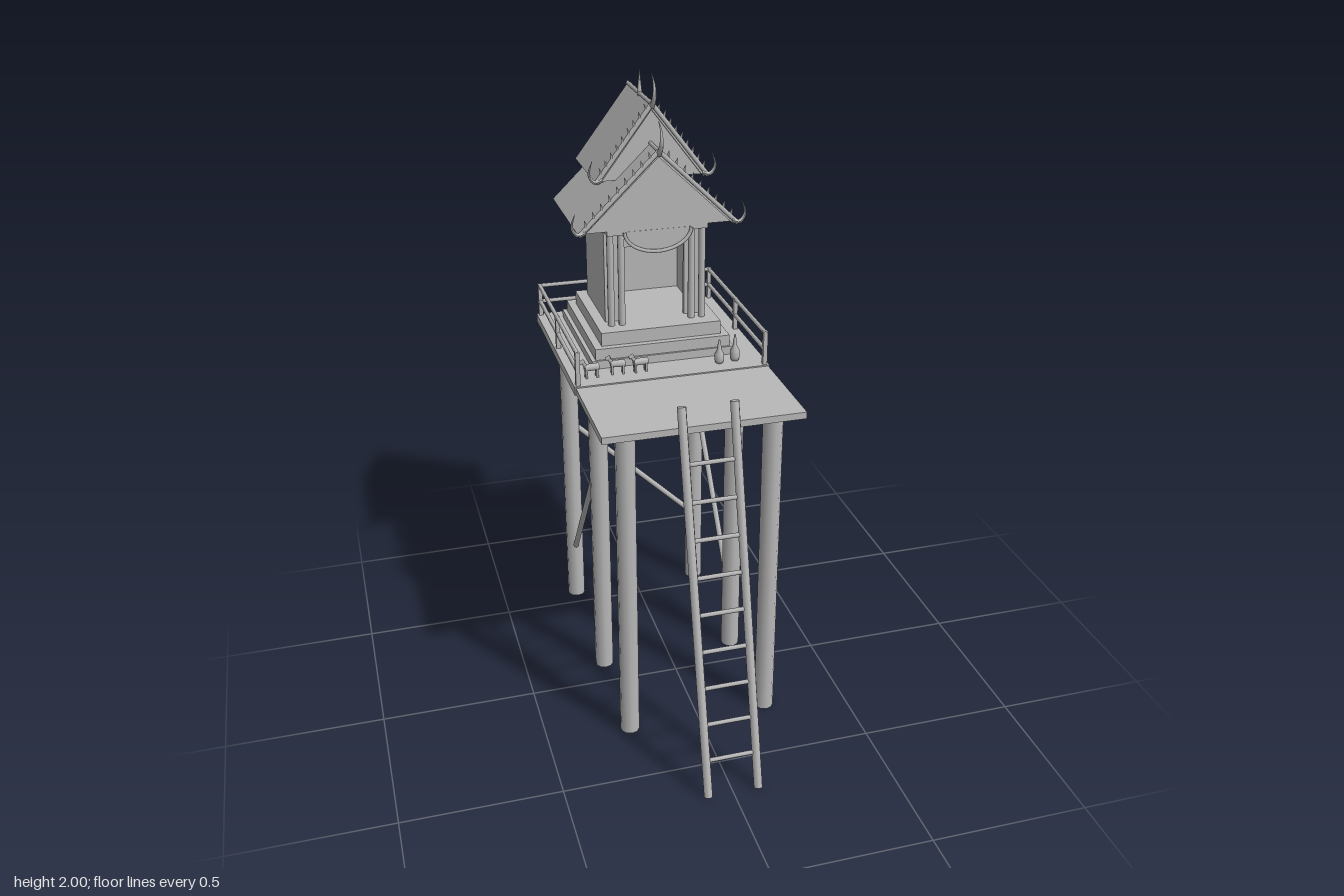
import * as THREE from 'three';

const grey = new THREE.MeshStandardMaterial({ color: 0xb8b8b8 });
grey.name = 'plain grey';

function add(parent, name, geometry, x = 0, y = 0, z = 0) {
  const mesh = new THREE.Mesh(geometry, grey);
  mesh.name = name;
  mesh.position.set(x, y, z);
  parent.add(mesh);
  return mesh;
}

// Box given by its limits on each axis
function box(parent, name, x0, x1, y0, y1, z0, z1) {
  return add(parent, name, new THREE.BoxGeometry(x1 - x0, y1 - y0, z1 - z0),
    (x0 + x1) / 2, (y0 + y1) / 2, (z0 + z1) / 2);
}

// Round rod (or cone) between two points
function rod(parent, name, a, b, r, sides = 8, rEnd = r) {
  const p = new THREE.Vector3(...a), q = new THREE.Vector3(...b);
  const d = q.clone().sub(p);
  const mesh = add(parent, name, new THREE.CylinderGeometry(rEnd, r, d.length(), sides));
  mesh.position.copy(p).add(q).multiplyScalar(0.5);
  mesh.quaternion.setFromUnitVectors(new THREE.Vector3(0, 1, 0), d.normalize());
  return mesh;
}

// Curved horn, thinning to a point
function horn(parent, name, points, r) {
  const curve = new THREE.CatmullRomCurve3(points.map(p => new THREE.Vector3(...p)));
  const n = 14, sides = 6;
  const geo = new THREE.TubeGeometry(curve, n, r, sides);
  const pos = geo.attributes.position, v = new THREE.Vector3();
  for (let i = 0; i < pos.count; i++) {
    const t = Math.floor(i / (sides + 1)) / n;
    const c = curve.getPointAt(t);
    v.fromBufferAttribute(pos, i).sub(c).multiplyScalar(1 - 0.9 * t).add(c);
    pos.setXYZ(i, v.x, v.y, v.z);
  }
  geo.computeVertexNormals();
  add(parent, name, geo);
}

function extrude(parent, name, points, z0, z1) {
  const shape = new THREE.Shape(points.map(p => new THREE.Vector2(...p)));
  return add(parent, name,
    new THREE.ExtrudeGeometry(shape, { depth: z1 - z0, bevelEnabled: false }), 0, 0, z0);
}

// Gabled roof, open at the back, with toothed bargeboards and horns in front
function roof(parent, name, w, eave, ridge, back, front) {
  const g = new THREE.Group();
  g.name = name;
  parent.add(g);
  const t = 0.02, k = (ridge - eave) / w;
  extrude(g, 'roofPanels',
    [[w, eave], [0, ridge], [-w, eave], [-w + t * 0.7, eave - 0.004], [0, ridge - t], [w - t * 0.7, eave - 0.004]], back, front);
  extrude(g, 'gable', [[-w + 0.015, eave], [w - 0.015, eave], [0, ridge - 0.015]], front - 0.03, front - 0.015);
  rod(g, 'ridgeBeam', [0, ridge, back], [0, ridge, front], 0.007, 6);
  for (const s of [-1, 1]) {
    rod(g, 'bargeboard', [s * w, eave, front + 0.004], [0, ridge, front + 0.004], 0.008, 6);
    for (let i = 1; i < 10; i++) {
      const x = s * w * i / 10, y = ridge - k * w * i / 10;
      rod(g, 'bargeTooth', [x, y, front + 0.004], [x + s * 0.007, y + 0.024, front + 0.004], 0.007, 5, 0.001);
    }
    horn(g, 'eaveHorn', [[s * (w - 0.02), eave + 0.012, front + 0.005], [s * (w + 0.005), eave + 0.005, front + 0.007],
      [s * (w + 0.022), eave + 0.03, front + 0.008], [s * (w + 0.012), eave + 0.072, front + 0.008]], 0.009);
  }
  horn(g, 'ridgeHorn', [[0, ridge - 0.01, front], [0, ridge + 0.008, front + 0.022], [0, ridge + 0.04, front + 0.036],
    [0, ridge + 0.07, front + 0.028], [0, ridge + 0.09, front + 0.002]], 0.01);
}

export function createModel() {
  const model = new THREE.Group();
  model.name = 'spiritHouse';

  // Stilts and diagonal braces
  for (const x of [-0.23, 0.23])
    for (const z of [0.262, -0.106, -0.57])
      rod(model, 'stilt', [x, 0, z], [x, 1.09, z], 0.031, 10);
  rod(model, 'backBrace', [-0.22, 0.71, -0.57], [0.22, 0.28, -0.57], 0.01);
  rod(model, 'rightBrace', [-0.23, 0.79, -0.12], [-0.23, 0.2, -0.56], 0.01);
  rod(model, 'leftBrace', [0.23, 0.2, -0.12], [0.23, 0.79, -0.56], 0.01);

  // Decks
  box(model, 'rearDeck', -0.317, 0.317, 1.08, 1.108, -0.655, -0.022);
  box(model, 'frontDeck', -0.313, 0.313, 1.082, 1.104, -0.022, 0.326);

  // Railing on three sides
  for (const s of [-1, 1]) {
    for (const z of [-0.035, -0.34, -0.643])
      box(model, 'railPost', s * 0.304 - 0.007, s * 0.304 + 0.007, 1.1, 1.22, z - 0.007, z + 0.007);
    for (const y of [1.158, 1.215])
      rod(model, 'sideRail', [s * 0.304, y, -0.03], [s * 0.304, y, -0.648], 0.007, 6);
  }
  box(model, 'railPost', -0.007, 0.007, 1.1, 1.22, -0.65, -0.636);
  for (const y of [1.158, 1.215])
    rod(model, 'backRail', [-0.304, y, -0.643], [0.304, y, -0.643], 0.007, 6);

  // Leaning ladder
  for (const x of [-0.08, 0.08]) rod(model, 'ladderRail', [x, 0.003, 0.647], [x, 1.18, 0.342], 0.014, 8);
  for (let i = 0; i < 9; i++) {
    const y = 0.117 + i * 0.112, z = 0.648 - y * 0.259;
    rod(model, 'rung', [-0.08, y, z], [0.08, y, z], 0.007, 6);
  }

  // Stepped plinth
  box(model, 'plinthBase', -0.235, 0.235, 1.1, 1.135, -0.605, -0.138);
  box(model, 'plinthMiddle', -0.222, 0.222, 1.13, 1.172, -0.59, -0.145);
  box(model, 'plinthTop', -0.197, 0.197, 1.17, 1.216, -0.557, -0.166);

  // Hollow shrine with an open doorway
  const shrine = new THREE.Group();
  shrine.name = 'shrine';
  model.add(shrine);
  box(shrine, 'backWall', -0.163, 0.163, 1.215, 1.533, -0.525, -0.51);
  box(shrine, 'ceiling', -0.163, 0.163, 1.518, 1.533, -0.51, -0.256);
  box(shrine, 'lintel', -0.1, 0.1, 1.462, 1.518, -0.271, -0.256);
  box(shrine, 'porchBeam', -0.163, 0.163, 1.52, 1.54, -0.245, -0.205);
  for (const s of [-1, 1]) {
    box(shrine, 'sideWall', s * 0.1555 - 0.0075, s * 0.1555 + 0.0075, 1.215, 1.518, -0.51, -0.256);
    box(shrine, 'doorJamb', s * 0.124 - 0.024, s * 0.124 + 0.024, 1.215, 1.518, -0.271, -0.256);
    for (const x of [0.115, 0.15])
      rod(shrine, 'porchColumn', [s * x, 1.215, -0.225], [s * x, 1.533, -0.225], 0.011, 10);
  }

  // Drooping valance over the doorway
  const arc = [];
  for (let i = 0; i <= 16; i++) {
    const a = Math.PI * (1 + i / 16);
    arc.push([0.108 * Math.cos(a), 1.53 + 0.07 * Math.sin(a)]);
  }
  extrude(shrine, 'valance', arc, -0.212, -0.204);
  const swag = new THREE.CatmullRomCurve3(arc.map(p => new THREE.Vector3(p[0], p[1], -0.202)));
  add(shrine, 'valanceTrim', new THREE.TubeGeometry(swag, 24, 0.006, 6));

  // Two stacked roofs and the ridge spire
  roof(model, 'lowerRoof', 0.255, 1.535, 1.782, -0.592, -0.19);
  roof(model, 'upperRoof', 0.18, 1.672, 1.908, -0.568, -0.27);
  rod(model, 'ridgeSpire', [0, 1.9, -0.415], [0, 1.98, -0.415], 0.009, 8, 0.001);

  // Small animal offerings on the deck
  for (const [x, z, turn] of [[-0.25, -0.085, 0.05], [-0.165, -0.09, -0.1], [-0.092, -0.086, 0.08]]) {
    const animal = new THREE.Group();
    animal.name = 'animalFigure';
    animal.position.set(x, 1.108, z);
    animal.rotation.y = turn;
    model.add(animal);
    rod(animal, 'body', [-0.022, 0.034, 0], [0.024, 0.034, 0], 0.012, 8);
    rod(animal, 'neck', [-0.018, 0.036, 0], [-0.027, 0.056, 0], 0.007, 6);
    rod(animal, 'head', [-0.022, 0.057, 0], [-0.037, 0.051, 0], 0.008, 6, 0.005);
    for (const lx of [-0.017, 0.018])
      for (const lz of [-0.007, 0.007])
        rod(animal, 'leg', [lx, 0, lz], [lx, 0.032, lz], 0.004, 6);
  }

  // Offering vases
  const profile = [[0, 0], [0.012, 0], [0.016, 0.012], [0.015, 0.034], [0.007, 0.05], [0.006, 0.066], [0.002, 0.088], [0, 0.088]];
  for (const [x, z, s] of [[0.168, -0.084, 0.9], [0.222, -0.09, 1]])
    add(model, 'vase', new THREE.LatheGeometry(profile.map(p => new THREE.Vector2(...p)), 12), x, 1.108, z).scale.set(1, s, 1);

  return model;
}
